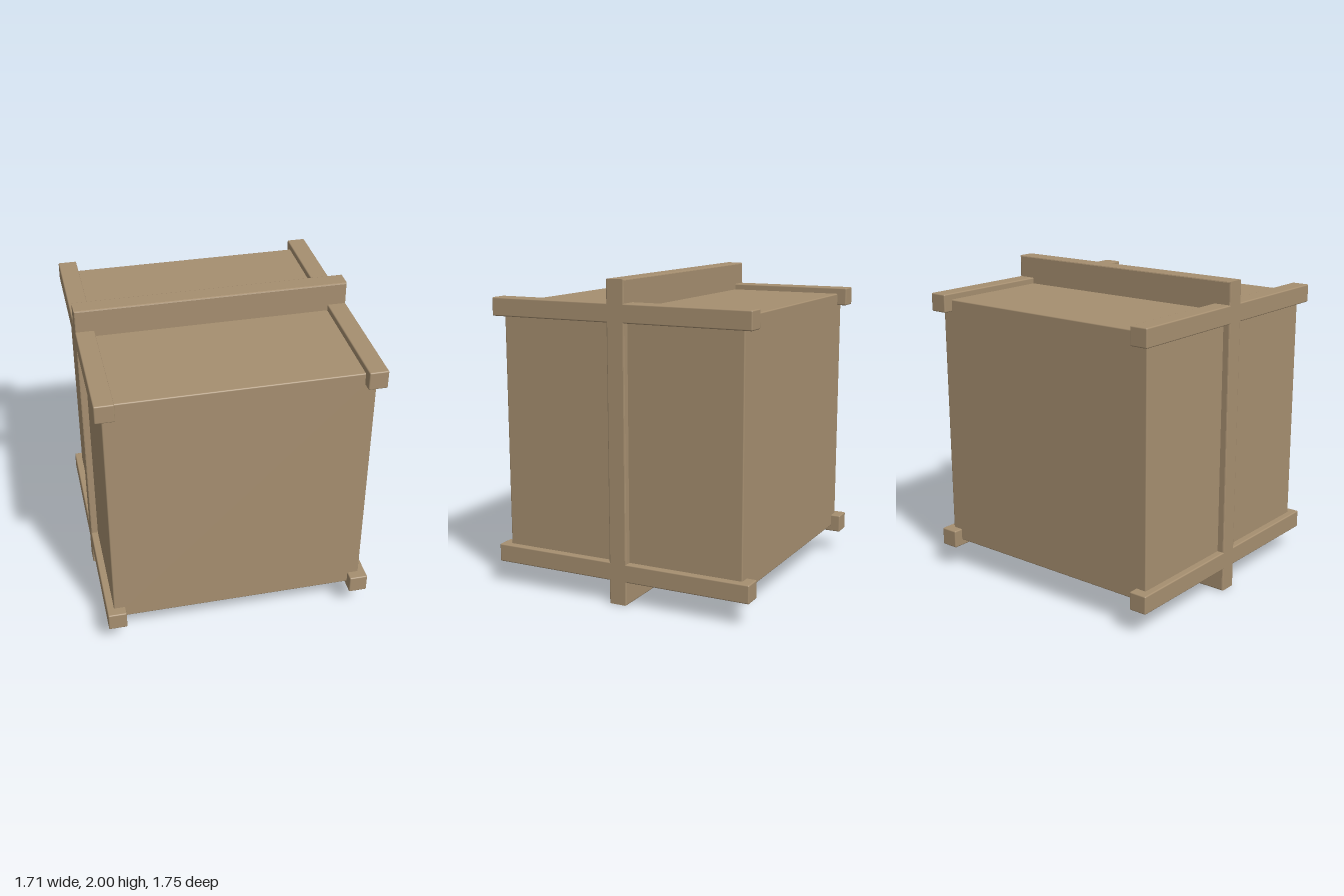
import * as THREE from 'three';
import { RoundedBoxGeometry } from 'three/addons/geometries/RoundedBoxGeometry.js';

const EDGE = 0.008;      // softened edge on every timber
const HALF_X = 0.855;    // outer half width of the frame
const BEAM = 0.118;      // timber thickness

export function createModel() {
  const group = new THREE.Group();
  const wood = new THREE.MeshStandardMaterial({ color: 0xa68f70 });
  wood.name = 'tan wood';

  const addBox = (name, size, position) => {
    const mesh = new THREE.Mesh(new RoundedBoxGeometry(...size, 2, EDGE), wood);
    mesh.name = name;
    mesh.position.set(...position);
    group.add(mesh);
  };

  // Crate body
  addBox('crateBody', [1.62, 1.63, 1.63], [0, 1.004, 0]);

  // Four rails running front to back along the side edges
  for (const [side, sx] of [['left', 1], ['right', -1]]) {
    for (const [level, y] of [['Lower', 0.207], ['Upper', 1.8]]) {
      addBox(side + level + 'Rail', [BEAM, 0.116, 1.754], [sx * (HALF_X - BEAM / 2), y, 0]);
    }
  }

  // Upright rectangular band around the middle, bevelled on its outer edges
  const rectangle = (path, x, y0, y1) => {
    path.moveTo(-x, y0);
    path.lineTo(x, y0);
    path.lineTo(x, y1);
    path.lineTo(-x, y1);
    path.closePath();
    return path;
  };
  const outline = rectangle(new THREE.Shape(), HALF_X - EDGE, EDGE, 2 - EDGE);
  outline.holes.push(rectangle(new THREE.Path(), HALF_X - BEAM, 0.22, 1.78));
  const bandGeometry = new THREE.ExtrudeGeometry(outline, {
    depth: BEAM - 2 * EDGE,
    bevelEnabled: true,
    bevelSize: EDGE,
    bevelThickness: EDGE,
    bevelSegments: 2,
  });
  bandGeometry.translate(0, 0, -BEAM / 2 + EDGE);
  const band = new THREE.Mesh(bandGeometry, wood);
  band.name = 'middleBand';
  group.add(band);

  return group;
}
